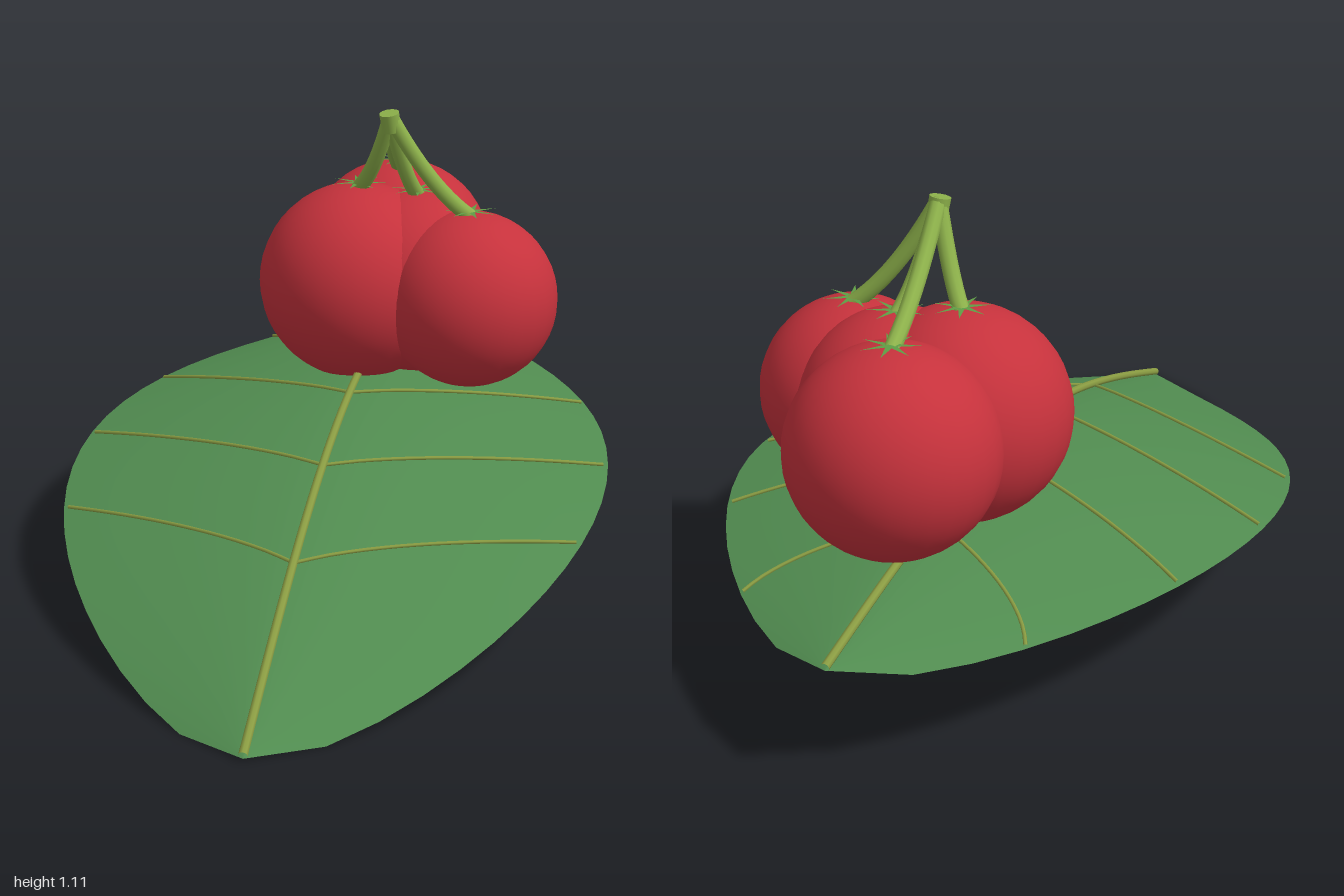
import * as THREE from 'three';

const mat = (name, color, side = THREE.FrontSide) =>
  Object.assign(new THREE.MeshStandardMaterial({ color, side }), { name });

// Point on the leaf: t runs along the midrib (0..1), u across it (-1..1)
const HALF_LENGTH = 1.205, HALF_WIDTH = 0.7;
function leafPoint(t, u, lift = 0) {
  const bulge = Math.sin(Math.PI * Math.min(Math.max(t, 0), 1));
  const a = (2 * t - 1) * HALF_LENGTH;
  const v = u * HALF_WIDTH * Math.pow(Math.max(bulge, 0), 0.7);
  const y = 0.3 * t + 0.2 * bulge - 0.125 * Math.sqrt(Math.max(bulge, 0)) * Math.pow(Math.abs(u), 1.4);
  return new THREE.Vector3(0.82 * a + 0.573 * v, y + lift, -0.573 * a + 0.82 * v);
}

// Leaf blade as a grid of rows along the midrib
function leafGeometry(rows = 24, cols = 16) {
  const pos = [], idx = [];
  for (let i = 0; i <= rows; i++) {
    for (let j = 0; j <= cols; j++) pos.push(...leafPoint(i / rows, (2 * j) / cols - 1));
  }
  for (let i = 0; i < rows; i++) {
    for (let j = 0; j < cols; j++) {
      const p = i * (cols + 1) + j, q = p + cols + 1;
      idx.push(p, q, p + 1, q, q + 1, p + 1);
    }
  }
  const g = new THREE.BufferGeometry();
  g.setAttribute('position', new THREE.Float32BufferAttribute(pos, 3));
  g.setIndex(idx);
  g.computeVertexNormals();
  return g;
}

// Flat star with thin pointed sepals
function starGeometry(points, outer, inner) {
  const s = new THREE.Shape();
  for (let i = 0; i < points * 2; i++) {
    const r = i % 2 ? inner : outer, a = (i * Math.PI) / points;
    s[i ? 'lineTo' : 'moveTo'](r * Math.cos(a), r * Math.sin(a));
  }
  return new THREE.ShapeGeometry(s).rotateX(-Math.PI / 2);
}

export function createModel() {
  const model = new THREE.Group();
  const leafGreen = mat('leaf green', 0x518c50, THREE.DoubleSide);
  const veinGreen = mat('vein olive', 0x8a9c42);
  const stemGreen = mat('stem green', 0x8cb04a);
  const sepalGreen = mat('sepal green', 0x5f9e45, THREE.DoubleSide);
  const fruitRed = mat('fruit red', 0xc6323c);

  const add = (name, geometry, material, parent = model) => {
    const mesh = new THREE.Mesh(geometry, material);
    mesh.name = name;
    parent.add(mesh);
    return mesh;
  };
  const tube = (points, radius, segments, sides) =>
    new THREE.TubeGeometry(new THREE.CatmullRomCurve3(points), segments, radius, sides);

  add('leafBlade', leafGeometry(), leafGreen);

  // Midrib and four pairs of side veins
  const rib = [];
  for (let i = 0; i <= 16; i++) rib.push(leafPoint(i / 16, 0, 0.008));
  add('midrib', tube(rib, 0.011, 40, 8), veinGreen);
  for (const t of [0.244, 0.405, 0.57, 0.74]) {
    for (const side of [-1, 1]) {
      const pts = [];
      for (let i = 0; i <= 8; i++) pts.push(leafPoint(t + 0.131 * (i / 8), side * 0.98 * (i / 8), 0.003));
      add('sideVein', tube(pts, 0.005, 16, 6), veinGreen);
    }
  }

  // Cluster of fruits, each with a star calyx and a stem to the shared top: x, y, z, radius
  const top = new THREE.Vector3(0.31, 1.09, -0.12);
  const fruits = [
    [0.345, 0.6, -0.272, 0.27],
    [0.605, 0.607, -0.37, 0.262],
    [0.47, 0.585, 0.025, 0.238],
    [0.46, 0.6, -0.16, 0.25],
  ];
  fruits.forEach(([x, y, z, r], i) => {
    const fruit = new THREE.Group();
    fruit.name = 'fruit';
    fruit.position.set(x, y, z);
    model.add(fruit);
    add('fruitBody', new THREE.SphereGeometry(r, 32, 24), fruitRed, fruit);
    const calyx = add('calyx', starGeometry(7, 0.075, 0.018), sepalGreen, fruit);
    calyx.position.y = r + 0.006;
    calyx.rotation.y = i * 0.7;

    const foot = new THREE.Vector3(x, y + r - 0.01, z);
    const bend = top.clone().lerp(foot, 0.5);
    bend.y -= 0.06;
    const start = top.clone();
    add('stem', new THREE.TubeGeometry(new THREE.QuadraticBezierCurve3(start, bend, foot), 14, 0.021, 10), stemGreen);
  });

  // Cut end where the stems join
  const joint = add('stemJoint', new THREE.CylinderGeometry(0.027, 0.025, 0.05, 12), stemGreen);
  joint.position.set(0.31, 1.075, -0.12);
  joint.rotation.z = 0.2;
  return model;
}
